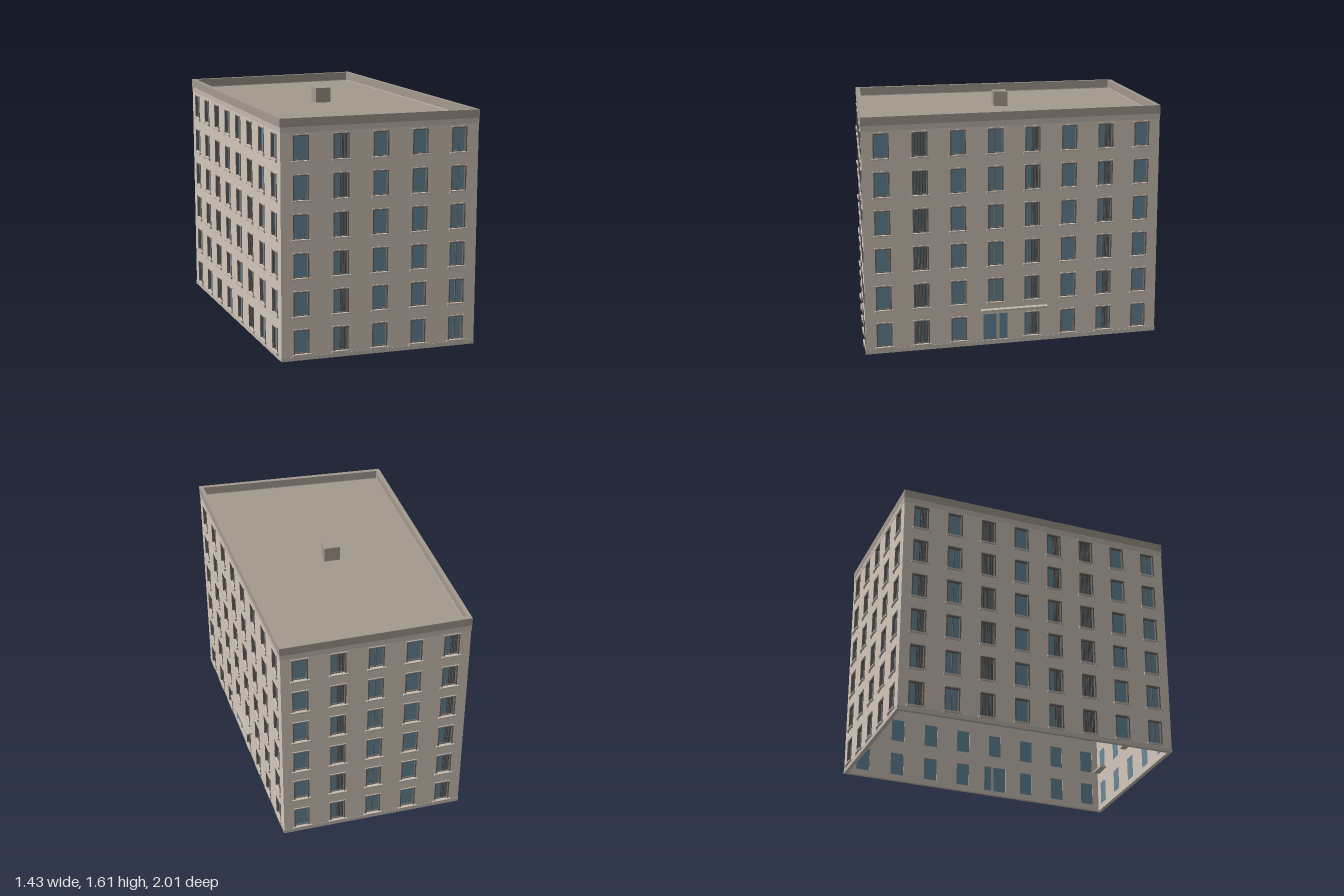
import * as THREE from 'three';
import { mergeGeometries } from 'three/addons/utils/BufferGeometryUtils.js';

const mat = (color) => new THREE.MeshStandardMaterial({ color });
const MATS = {
  wall: mat(0xd2c7bb), trim: mat(0xc4b9ae), frame: mat(0x6e6862), glass: mat(0x68899a),
  curtain: mat(0x57524f), roof: mat(0xa3998f), plinth: mat(0xc4bab0),
};

// Skewed footprint (x, z): front left, front right, back right, back left
const CORNERS = [[-0.6, 0.945], [0.708, 0.99], [0.52, -0.998], [-0.708, -0.955]];
const T = 0.025;              // wall thickness
const WALL_H = 1.51;
const ROWS = 6, ROW_STEP = 0.251, ROW_BASE = 0.042;
const WIN_W = 0.095, WIN_H = 0.158;

function box(x0, x1, y0, y1, z0, z1) {
  return new THREE.BoxGeometry(x1 - x0, y1 - y0, z1 - z0)
    .translate((x0 + x1) / 2, (y0 + y1) / 2, (z0 + z1) / 2);
}

function rect(Type, x0, x1, y0, y1) {
  return new Type([[x0, y0], [x1, y0], [x1, y1], [x0, y1]].map(([x, y]) => new THREE.Vector2(x, y)));
}

function addMesh(group, name, geometry, material) {
  const mesh = new THREE.Mesh(geometry, material);
  mesh.name = name;
  group.add(mesh);
}

// Footprint moved inward (or outward when negative)
function footprint(Type, inset) {
  return new Type(CORNERS.map(([x, z]) =>
    new THREE.Vector2(x - Math.sign(x) * inset, -(z - Math.sign(z) * inset))));
}

// Horizontal ring or slab that follows the footprint
function slab(outer, inner, y0, y1) {
  const shape = footprint(THREE.Shape, outer);
  if (inner !== null) shape.holes.push(footprint(THREE.Path, inner));
  return new THREE.ExtrudeGeometry(shape, { depth: y1 - y0, bevelEnabled: false })
    .rotateX(-Math.PI / 2).translate(0, y0, 0);
}

// One window centred on x with its bottom at y
function addWindow(parts, x, y, style) {
  const l = x - WIN_W / 2, r = x + WIN_W / 2, top = y + WIN_H;
  parts.glass.push(box(l, r, y, top, -0.022, -0.018));
  // sash and outer surround
  for (const s of [-1, 1]) {
    const e = x + s * WIN_W / 2;
    parts.frame.push(box(e - 0.004, e + 0.004, y, top, -0.02, 0.003));
    parts.trim.push(box(x + s * 0.056 - 0.006, x + s * 0.056 + 0.006, y - 0.018, y - 0.008, 0, 0.01));
  }
  parts.frame.push(box(l, r, top - 0.004, top + 0.004, -0.02, 0.003));
  parts.frame.push(box(l, r, y, y + 0.005, -0.02, -0.008));
  parts.trim.push(box(l - 0.008, r + 0.008, top + 0.003, top + 0.009, -0.002, 0.006));
  // sill
  parts.trim.push(box(l - 0.014, r + 0.014, y - 0.01, y, -0.018, 0.013));
  if (style === 'split') parts.frame.push(box(x - 0.003, x + 0.003, y, top, -0.018, -0.012));
  // pleated curtain: full width, or drawn to one side
  const from = style === 'half' ? 4 : 0;
  if (style === 'half' || style === 'full') {
    for (let i = from; i < 9; i++) {
      const px = l + 0.009 + i * 0.0096;
      parts.curtain.push(box(px - 0.003, px + 0.003, y + 0.006, top - 0.005, -0.018, -0.015 + (i % 2) * 0.002));
    }
  }
}

function makeFacade(name, a, b, styles, { doorColumn = -1, ledges = false } = {}) {
  const facade = new THREE.Group();
  facade.name = name;
  const dx = b[0] - a[0], dz = b[1] - a[1], len = Math.hypot(dx, dz);
  facade.position.set(a[0], 0, a[1]);
  facade.rotation.y = Math.atan2(-dz, dx);

  const parts = { glass: [], frame: [], trim: [], curtain: [] };
  const wall = rect(THREE.Shape, 0, len, 0, WALL_H);
  const step = len / styles.length;
  for (let row = 0; row < ROWS; row++) {
    styles.forEach((style, col) => {
      const x = (col + 0.5) * step, y = ROW_BASE + row * ROW_STEP;
      if (row === 0 && col === doorColumn) {
        // glazed entrance: wide and narrow leaf with a post between
        const l = x - 0.084, r = x + 0.082;
        wall.holes.push(rect(THREE.Path, l, r, 0.03, 0.21));
        parts.glass.push(box(l, l + 0.09, 0.03, 0.21, -0.018, -0.008));
        parts.glass.push(box(l + 0.11, r, 0.03, 0.21, -0.018, -0.008));
        parts.trim.push(box(l + 0.09, l + 0.11, 0.03, 0.21, -0.02, -0.002));
        return;
      }
      wall.holes.push(rect(THREE.Path, x - WIN_W / 2, x + WIN_W / 2, y, y + WIN_H));
      addWindow(parts, x, y, style);
      // inner ledges behind some windows
      if (ledges && (row === 1 || row === 2) && (row + col) % 2) {
        parts.trim.push(box(x - 0.07, x + 0.07, y - 0.012, y, -T - 0.045, -T));
      }
    });
  }

  // wall panel, its inner ends mitred to meet the neighbours
  const geo = new THREE.ExtrudeGeometry(wall, { depth: T, bevelEnabled: false }).translate(0, 0, -T);
  const p = geo.attributes.position;
  for (let i = 0; i < p.count; i++) {
    if (p.getZ(i) > -T / 2) continue;
    if (p.getX(i) < 0.001) p.setX(i, T);
    else if (p.getX(i) > len - 0.001) p.setX(i, len - T);
  }
  geo.computeVertexNormals();
  addMesh(facade, 'wall', geo, MATS.wall);

  const labels = { glass: 'windowGlass', frame: 'windowFrames', trim: 'sillsAndLintels', curtain: 'curtains' };
  for (const key in parts) {
    if (parts[key].length) addMesh(facade, labels[key], mergeGeometries(parts[key]), MATS[key]);
  }
  if (doorColumn >= 0) {
    const x = (doorColumn + 0.5) * step - 0.1;
    addMesh(facade, 'entranceCanopy', box(x, x + 0.45, 0.235, 0.248, 0, 0.038), MATS.trim);
  }
  return facade;
}

export function createModel() {
  const building = new THREE.Group();
  building.name = 'apartmentBuilding';
  const [fl, fr, br, bl] = CORNERS;

  building.add(
    makeFacade('frontFacade', fl, fr, ['plain', 'half', 'plain', 'plain', 'split'], { ledges: true }),
    makeFacade('rightFacade', fr, br,
      ['plain', 'full', 'plain', 'split', 'half', 'plain', 'half', 'plain'], { doorColumn: 3 }),
    makeFacade('backFacade', br, bl, ['plain', 'half', 'split', 'plain', 'half']),
    makeFacade('leftFacade', bl, fl,
      ['half', 'split', 'full', 'plain', 'half', 'full', 'plain', 'split'], { ledges: true }),
  );

  // plinth, band under the parapet, parapet and roof
  addMesh(building, 'plinth', slab(-0.002, 0.02, 0, 0.028), MATS.plinth);
  addMesh(building, 'corniceBand', slab(-0.002, 0.02, 1.475, 1.51), MATS.trim);
  addMesh(building, 'parapet', slab(-0.003, 0.025, 1.51, 1.565), MATS.roof);
  addMesh(building, 'roofDeck', slab(0.015, null, 1.49, 1.505), MATS.roof);
  addMesh(building, 'roofVent', box(-0.075, 0.03, 1.5, 1.605, -0.055, 0.04), MATS.roof);
  return building;
}
